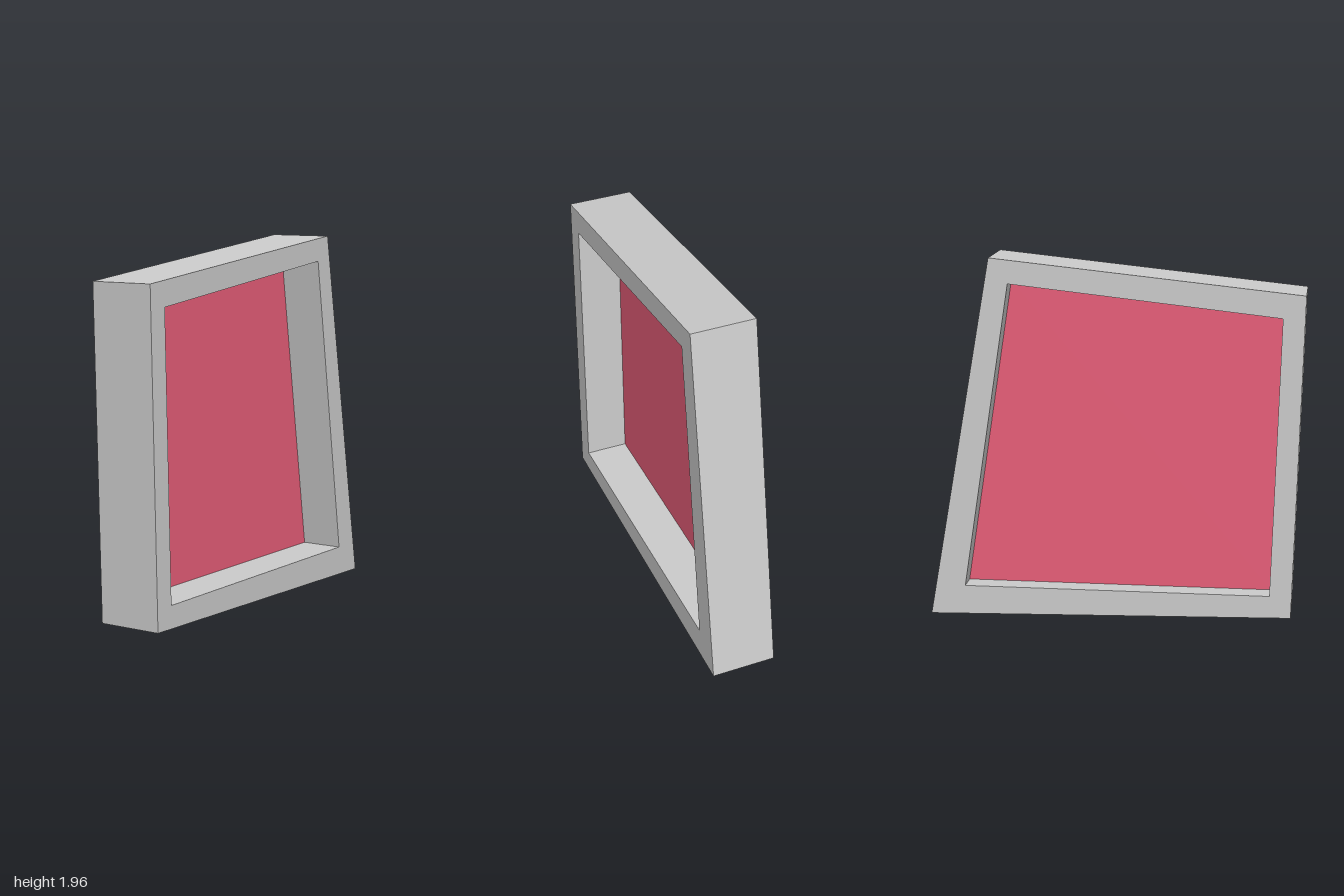
import * as THREE from 'three';

const DEPTH = 0.35;

// Corners as [z, y], seen from the +x side
const OUTER = [[0.955, 0.05], [-1, 0], [-0.655, 1.955], [1, 1.785]];
const INNER = [[0.84, 0.168], [-0.81, 0.164], [-0.555, 1.82], [0.882, 1.665]];

const points = (corners) => corners.map(([z, y]) => new THREE.Vector2(-z, y));

export function createModel() {
  const group = new THREE.Group();
  group.name = 'windowPanel';

  // Skewed four-sided frame, extruded across x
  const frameShape = new THREE.Shape(points(OUTER));
  frameShape.holes.push(new THREE.Path(points(INNER).reverse()));
  const frameGeometry = new THREE.ExtrudeGeometry(frameShape, { depth: DEPTH, bevelEnabled: false });
  frameGeometry.translate(0, 0, -DEPTH / 2).rotateY(Math.PI / 2);
  const frame = new THREE.Mesh(frameGeometry, new THREE.MeshStandardMaterial({ color: 0xcccccc }));
  frame.name = 'frame';

  // Thin pane set a third of the way in from the -x side
  const paneGeometry = new THREE.ShapeGeometry(new THREE.Shape(points(INNER)));
  paneGeometry.translate(0, 0, -DEPTH / 6).rotateY(Math.PI / 2);
  const pane = new THREE.Mesh(
    paneGeometry,
    new THREE.MeshStandardMaterial({ color: 0xe85e79, side: THREE.DoubleSide })
  );
  pane.name = 'pane';

  group.add(frame, pane);
  return group;
}
